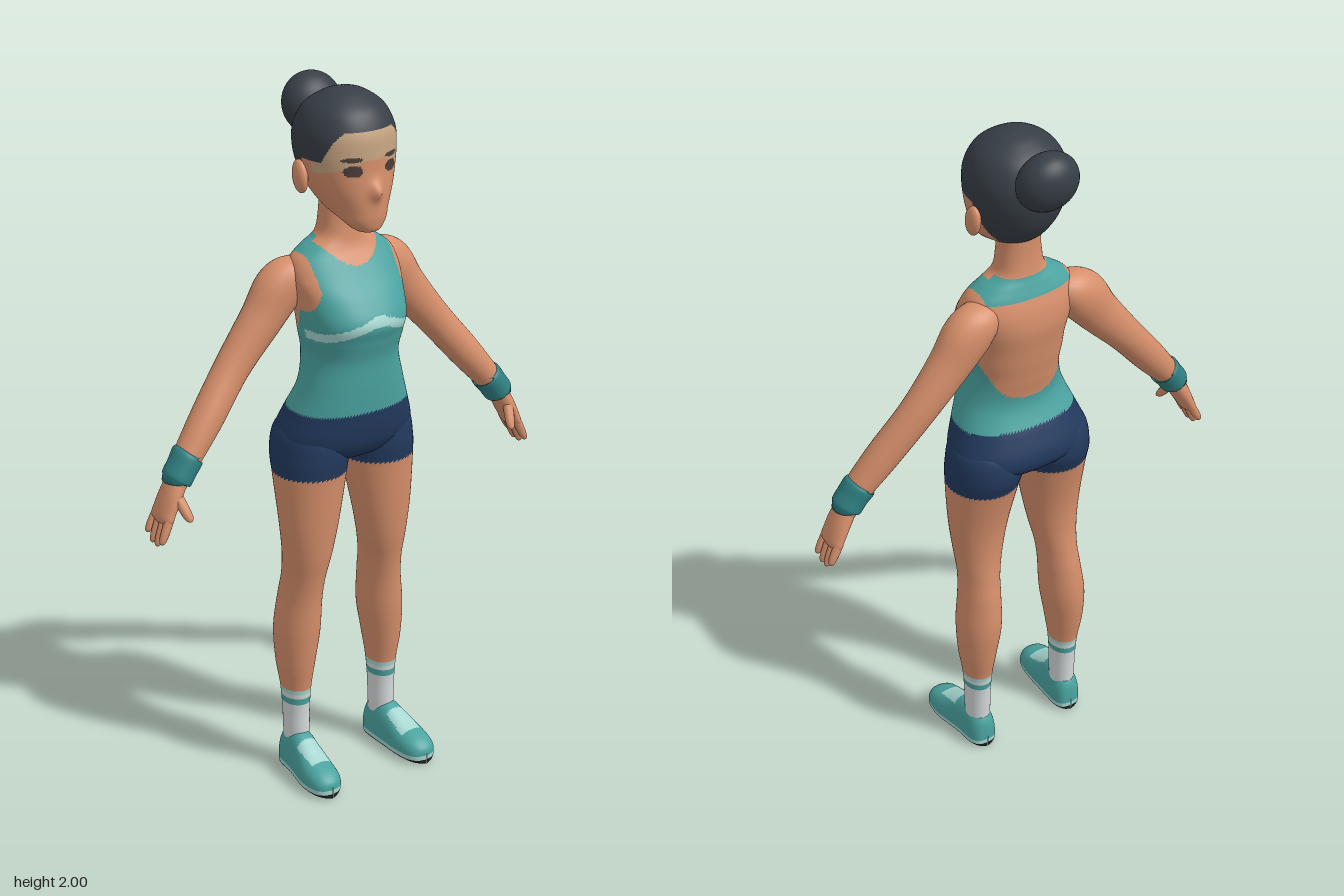
import * as THREE from 'three';

const colours = {
  skin: 0xd68f6b, paleSkin: 0xc6a481, hair: 0x373e46, teal: 0x4aa3a0, paleTeal: 0xa6d6d0,
  darkTeal: 0x2f8083, navy: 0x223a5e, sock: 0xd6dada, sole: 0x1b1f24, eye: 0x4b3d39,
};
const names = Object.keys(colours);
const { exp, abs, sign, cos, sin, min, max, PI } = Math;

// Catmull-Rom sample of a list of equal-length number rows
function sample(keys, t) {
  const f = t * (keys.length - 1), i = min(Math.floor(f), keys.length - 2), s = f - i;
  const k = (n) => keys[max(0, min(keys.length - 1, n))];
  return keys[i].map((_, c) => {
    const a = k(i - 1)[c], b = k(i)[c], d = k(i + 1)[c], e = k(i + 2)[c];
    return b + 0.5 * s * (d - a + s * (2 * a - 5 * b + 4 * d - e + s * (3 * (b - d) + e - a)));
  });
}

// Piecewise linear lookup in [x, y] pairs
function ramp(pts, x) {
  if (x <= pts[0][0]) return pts[0][1];
  for (let i = 1; i < pts.length; i++) {
    const [x0, y0] = pts[i - 1], [x1, y1] = pts[i];
    if (x <= x1) return y0 + (y1 - y0) * (x - x0) / (x1 - x0);
  }
  return pts[pts.length - 1][1];
}

const pw = (v, p) => sign(v) * abs(v) ** p;

export function createModel() {
  const root = new THREE.Group();
  root.name = 'athlete';
  const mats = names.map((n) => {
    const m = new THREE.MeshStandardMaterial({ color: colours[n] });
    m.name = n;
    return m;
  });

  // Closed-ring surface; colour(x, y, z) picks the material of each face
  function surface(name, rows, cols, point, colour, flip = false) {
    const pos = [], faces = names.map(() => []);
    for (let i = 0; i <= rows; i++)
      for (let j = 0; j < cols; j++) pos.push(...point(i / rows, (j / cols) * 2 * PI));
    const tri = (a, b, c) => {
      const m = [0, 1, 2].map((k) => (pos[a * 3 + k] + pos[b * 3 + k] + pos[c * 3 + k]) / 3);
      const n = typeof colour === 'string' ? colour : colour(...m);
      faces[names.indexOf(n)].push(...(flip ? [a, c, b] : [a, b, c]));
    };
    for (let i = 0; i < rows; i++)
      for (let j = 0; j < cols; j++) {
        const k = (j + 1) % cols, a = i * cols + j, b = i * cols + k;
        tri(a, a + cols, b);
        tri(b, a + cols, b + cols);
      }
    const g = new THREE.BufferGeometry();
    g.setAttribute('position', new THREE.Float32BufferAttribute(pos, 3));
    g.setIndex(faces.flat());
    let start = 0;
    faces.forEach((f, i) => { if (f.length) g.addGroup(start, f.length, i); start += f.length; });
    g.computeVertexNormals();
    const mesh = new THREE.Mesh(g, mats);
    mesh.name = name;
    root.add(mesh);
  }

  // Upright loft, key rows: y, centre x, half width, front z, back z
  function upright(name, keys, rows, cols, colour, p = 1, side = 1, bump = () => 0) {
    surface(name, rows, cols, (v, u) => {
      const [y, cx, hw, zf, zb] = sample(keys, v);
      const x = side * cx + hw * pw(cos(u), p);
      const z = (zf + zb) / 2 + (zf - zb) / 2 * pw(sin(u), p);
      return [x, y, z + bump(x, y, z)];
    }, colour);
  }

  // Limb loft along a path, key rows: x, y, z, radius in the xy plane, radius along z
  function limb(name, keys, rows, cols, colour, side) {
    surface(name, rows, cols, (v, u) => {
      const [x, y, z, a, b] = sample(keys, v);
      const p = sample(keys, max(0, v - 0.01)), q = sample(keys, min(1, v + 0.01));
      const l = Math.hypot(q[0] - p[0], q[1] - p[1]) || 1;
      const tx = (q[0] - p[0]) / l, ty = (q[1] - p[1]) / l;
      return [side * (x + ty * a * cos(u)), y - tx * a * cos(u), z + b * sin(u)];
    }, colour, side < 0);
  }

  function ellipsoid(name, mat, [x, y, z], [sx, sy, sz], tilt = 0) {
    const m = new THREE.Mesh(new THREE.SphereGeometry(1, 32, 20), mats[names.indexOf(mat)]);
    m.position.set(x, y, z);
    m.scale.set(sx, sy, sz);
    m.rotation.x = tilt;
    m.name = name;
    root.add(m);
  }

  // Torso with open-backed top, chest stripe and shorts
  const torsoColour = (x, y, z) => {
    const ax = abs(x);
    if (y < 1.13 - 0.1 * min(0, z)) return 'navy';
    if (y > 1.6) return 'skin';
    if (z > 0) {
      if (y > 1.53 + 0.05 * (x / 0.085) ** 2) return 'skin';
      if (y > 1.42 && ax > ramp([[1.42, 0.15], [1.48, 0.125], [1.57, 0.13]], y)) return 'skin';
      const band = 1.412 - 0.36 * max(0, ax - 0.015);
      if (z > 0.04 && y < band && y > band - 0.026) return 'paleTeal';
    }
    if (z > 0.03 || (z > 0 && y > 1.5)) return 'teal';
    if (y > 1.545 && ax < 0.13) return 'teal';
    return y < ramp([[-0.07, 1.215], [0.03, 1.42]], z) ? 'teal' : 'skin';
  };
  upright('torso', [
    [0.955, 0, 0.06, 0.04, -0.04], [0.985, 0, 0.15, 0.1, -0.085], [1.02, 0, 0.195, 0.128, -0.117],
    [1.06, 0, 0.2, 0.142, -0.122], [1.12, 0, 0.178, 0.152, -0.1], [1.2, 0, 0.148, 0.158, -0.065],
    [1.28, 0, 0.13, 0.162, -0.075], [1.34, 0, 0.138, 0.177, -0.085], [1.39, 0, 0.145, 0.188, -0.092],
    [1.45, 0, 0.155, 0.155, -0.1], [1.5, 0, 0.163, 0.115, -0.095], [1.545, 0, 0.15, 0.083, -0.08],
    [1.575, 0, 0.115, 0.065, -0.068], [1.605, 0, 0.072, 0.057, -0.057],
    [1.66, 0, 0.06, 0.052, -0.05], [1.74, 0, 0.055, 0.05, -0.05],
  ], 150, 120, torsoColour, 0.85);

  // Head with hair, eyes and brows as separate faces
  const hairline = [[-0.05, 1.69], [-0.012, 1.705], [0.015, 1.83], [0.085, 1.83], [0.125, 1.91]];
  const headColour = (x, y, z) => {
    if (y > ramp(hairline, z)) return 'hair';
    const ax = abs(x), oval = (cx, cy, rx, ry) => ((ax - cx) / rx) ** 2 + ((y - cy) / ry) ** 2 < 1;
    if (z > 0.07 && (oval(0.058, 1.81, 0.023, 0.016) || oval(0.06, 1.84, 0.027, 0.006))) return 'eye';
    return z > 0.05 && y > 1.835 - 0.4 * max(0, ax - 0.03) ? 'paleSkin' : 'skin';
  };
  upright('head', [
    [1.635, 0, 0.001, 0.13, 0.128], [1.642, 0, 0.033, 0.155, 0.085], [1.668, 0, 0.06, 0.164, 0.04],
    [1.7, 0, 0.081, 0.166, -0.045], [1.75, 0, 0.108, 0.163, -0.09], [1.8, 0, 0.125, 0.158, -0.112],
    [1.85, 0, 0.133, 0.156, -0.122], [1.9, 0, 0.13, 0.149, -0.117], [1.95, 0, 0.106, 0.122, -0.09],
    [1.982, 0, 0.065, 0.078, -0.045], [1.995, 0, 0.03, 0.042, -0.01], [1.998, 0, 0.001, 0.016, 0.014],
  ], 130, 144, headColour, 0.95, 1,
  (x, y, z) => (z > 0.08 ? 0.02 * exp(-(((y - 1.752) / 0.024) ** 2) - (x / 0.018) ** 2) : 0));
  ellipsoid('hairBun', 'hair', [0, 1.92, -0.133], [0.086, 0.085, 0.066], -0.3);

  for (const side of [1, -1]) {
    const s = side > 0 ? 'left' : 'right';
    ellipsoid(s + 'Ear', 'skin', [side * 0.132, 1.777, 0.008], [0.017, 0.045, 0.028], -0.2);

    // Leg with shorts, and sock with stripes
    upright(s + 'Leg', [
      [0.08, 0.148, 0.034, 0.035, -0.048], [0.14, 0.148, 0.036, 0.036, -0.05],
      [0.2, 0.148, 0.037, 0.037, -0.053], [0.27, 0.148, 0.042, 0.042, -0.06],
      [0.35, 0.148, 0.053, 0.055, -0.075], [0.45, 0.142, 0.062, 0.066, -0.086],
      [0.55, 0.135, 0.057, 0.071, -0.078], [0.62, 0.13, 0.057, 0.08, -0.065],
      [0.7, 0.125, 0.069, 0.095, -0.056], [0.8, 0.12, 0.085, 0.106, -0.062],
      [0.93, 0.112, 0.102, 0.116, -0.09], [1.0, 0.107, 0.106, 0.123, -0.112],
      [1.07, 0.1, 0.098, 0.11, -0.1], [1.11, 0.09, 0.05, 0.05, -0.05],
    ], 140, 48, (x, y) => {
      if (y > 0.945) return 'navy';
      if (y > 0.27) return 'skin';
      if (y > 0.256) return 'paleTeal';
      return y > 0.222 && y < 0.243 ? 'teal' : 'sock';
    }, 1, side);

    // Shoe, key rows: z, centre x, half width, top height
    const shoe = [
      [-0.062, 0.148, 0.001, 0.04], [-0.056, 0.148, 0.027, 0.09], [-0.03, 0.149, 0.042, 0.122],
      [0.02, 0.151, 0.045, 0.132], [0.07, 0.156, 0.049, 0.112], [0.12, 0.161, 0.053, 0.088],
      [0.17, 0.163, 0.046, 0.07], [0.195, 0.164, 0.028, 0.052], [0.203, 0.164, 0.001, 0.036],
    ];
    surface(s + 'Shoe', 70, 56, (v, u) => {
      const [z, cx, hw, h] = sample(shoe, v), up = sin(u);
      const y = up > 0 ? 0.028 + (h - 0.028) * up ** 0.9 : 0.028 - 0.028 * abs(up) ** 0.5;
      return [side * cx + hw * pw(cos(u), 0.8), y, z];
    }, (x, y, z) => {
      if (y < 0.014) return 'sole';
      if (y < 0.027) return 'paleTeal';
      return z > 0.055 && z < 0.135 && y > 0.068 && abs(abs(x) - 0.157) < 0.032 ? 'paleTeal' : 'teal';
    }, true);

    // Arm, wristband and hand
    limb(s + 'Arm', [
      [0.08, 1.51, -0.025, 0.02, 0.03], [0.125, 1.5, -0.027, 0.053, 0.055],
      [0.175, 1.468, -0.03, 0.07, 0.06], [0.235, 1.39, -0.03, 0.061, 0.053],
      [0.33, 1.277, -0.025, 0.05, 0.047], [0.43, 1.155, -0.003, 0.046, 0.046],
      [0.515, 1.05, 0.014, 0.036, 0.04], [0.54, 1.01, 0.016, 0.031, 0.038],
    ], 60, 32, 'skin', side);
    limb(s + 'Wristband', [
      [0.492, 1.079, 0.01, 0.036, 0.038], [0.494, 1.077, 0.01, 0.044, 0.047],
      [0.514, 1.05, 0.014, 0.042, 0.046], [0.534, 1.022, 0.016, 0.041, 0.045],
      [0.536, 1.019, 0.016, 0.03, 0.036],
    ], 24, 32, 'darkTeal', side);
    limb(s + 'Palm', [
      [0.53, 1.025, 0.016, 0.028, 0.034], [0.552, 0.985, 0.018, 0.026, 0.042],
      [0.572, 0.945, 0.018, 0.022, 0.046], [0.584, 0.918, 0.018, 0.017, 0.044],
      [0.59, 0.905, 0.018, 0.001, 0.001],
    ], 24, 28, 'skin', side);
    const digit = (name, a, b, r) => limb(name, [0, 0.35, 0.7, 0.93, 1].map((t, i) => [
      ...a.map((c, k) => c + (b[k] - c) * t), ...Array(2).fill(r * [1, 1, 0.9, 0.6, 0.01][i])]),
    16, 12, 'skin', side);
    [0.872, 0.852, 0.85, 0.863].forEach((y, i) => {
      const z = -0.016 + i * 0.0225;
      digit(s + 'Finger' + (i + 1), [0.578, 0.93, z], [0.609, y, z * 1.1], 0.0125);
    });
    digit(s + 'Thumb', [0.55, 0.985, 0.045], [0.533, 0.922, 0.085], 0.0155);
  }
  return root;
}
